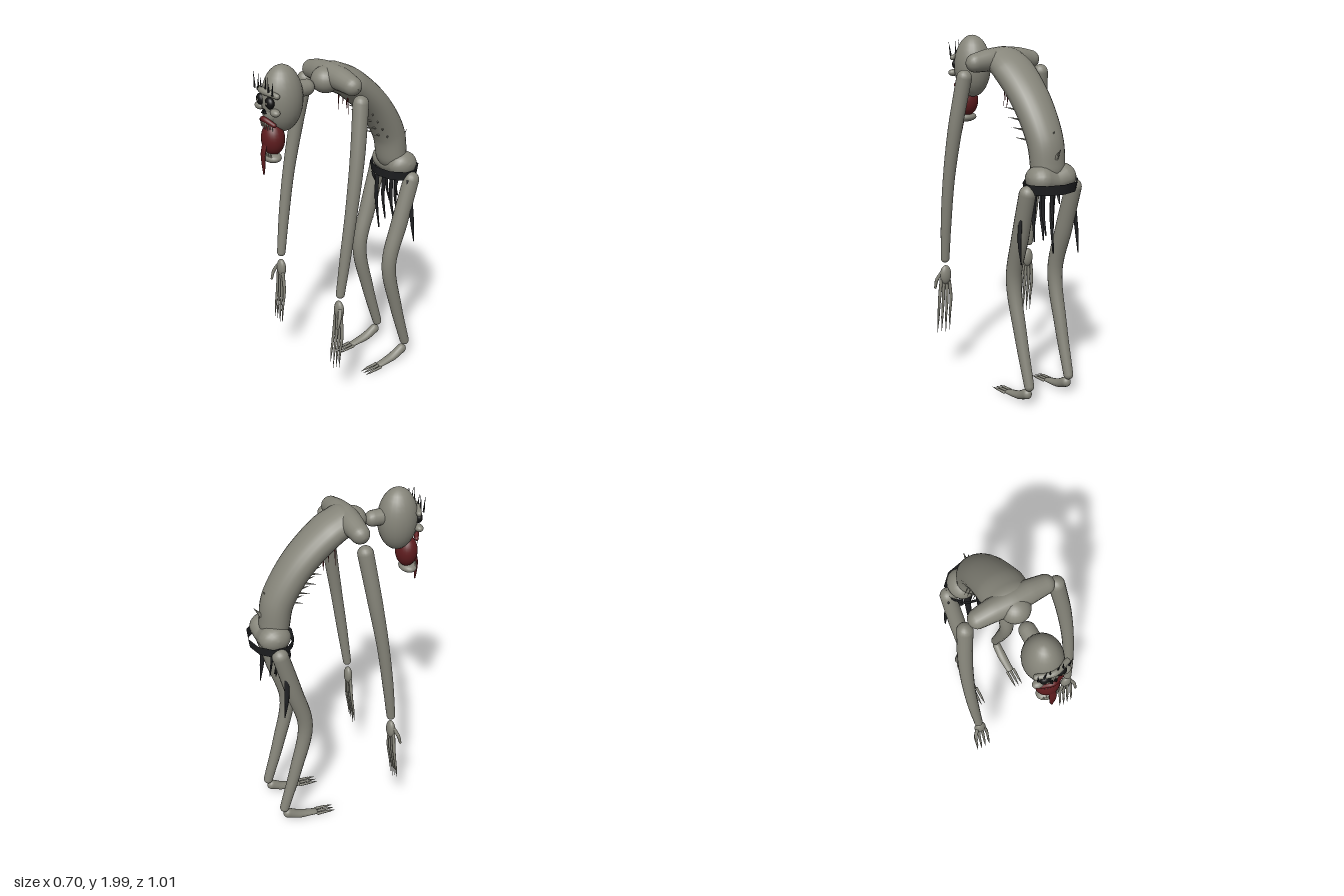
import * as THREE from 'three';

const mat = (name, color) => Object.assign(new THREE.MeshStandardMaterial({ color }), { name });
const V = (p) => new THREE.Vector3(...p);

// Smooth limb with round ends; radii are numbers or [across, depth] pairs.
function loft(points, radii, ref = [1, 0, 0], sides = 18, steps = 24) {
  const curve = new THREE.CatmullRomCurve3(points.map(V));
  const n = points.length - 1;
  const radiusAt = (t) => {
    const k = Math.min(Math.floor(t * n), n - 1), f = t * n - k;
    const [a, b] = [radii[k], radii[k + 1]].map((r) => (Array.isArray(r) ? r : [r, r]));
    return [a[0] + (b[0] - a[0]) * f, a[1] + (b[1] - a[1]) * f];
  };
  const rings = [];
  for (let i = 0; i < 6; i++) rings.push([0, -Math.cos((i / 6) * Math.PI / 2), Math.max(0.01, Math.sin((i / 6) * Math.PI / 2))]);
  for (let i = 0; i <= steps; i++) rings.push([i / steps, 0, 1]);
  for (let i = 5; i >= 0; i--) rings.push([1, Math.cos((i / 6) * Math.PI / 2), Math.max(0.01, Math.sin((i / 6) * Math.PI / 2))]);
  const pos = [], idx = [];
  rings.forEach(([t, push, scale], i) => {
    const T = curve.getTangent(t), B = V(ref).addScaledVector(T, -T.dot(V(ref))).normalize();
    const N = T.clone().cross(B), [ra, rb] = radiusAt(t);
    const c = curve.getPoint(t).addScaledVector(T, push * Math.min(ra, rb));
    for (let j = 0; j < sides; j++) {
      const a = (j / sides) * Math.PI * 2;
      const p = c.clone().addScaledVector(B, Math.cos(a) * ra * scale).addScaledVector(N, Math.sin(a) * rb * scale);
      pos.push(p.x, p.y, p.z);
      if (i < rings.length - 1) {
        const k = (j + 1) % sides, u = i * sides, w = u + sides;
        idx.push(u + j, u + k, w + j, u + k, w + k, w + j);
      }
    }
  });
  const g = new THREE.BufferGeometry();
  g.setAttribute('position', new THREE.Float32BufferAttribute(pos, 3));
  g.setIndex(idx);
  g.computeVertexNormals();
  return g;
}

export function createModel() {
  const model = new THREE.Group();
  const skin = mat('grey skin', 0x86857a), cloth = mat('black cloth', 0x1f2022);
  const socket = mat('dark socket', 0x121212), flesh = mat('dark red flesh', 0x5e1c1e);
  const bone = mat('pale bone', 0xb0aa98);
  cloth.side = THREE.DoubleSide;

  const add = (name, geo, material, parent = model) => {
    const m = new THREE.Mesh(geo, material);
    m.name = name;
    parent.add(m);
    return m;
  };
  const ball = (name, p, r, material, parent) => {
    const m = add(name, new THREE.SphereGeometry(1, 24, 16), material, parent);
    m.position.set(...p);
    m.scale.set(...r);
    return m;
  };
  const spike = (name, from, to, r, material, parent, sides = 6) => {
    const a = V(from), d = V(to).sub(a);
    const m = add(name, new THREE.ConeGeometry(r, d.length(), sides), material, parent);
    m.position.copy(a).addScaledVector(d, 0.5);
    m.quaternion.setFromUnitVectors(new THREE.Vector3(0, 1, 0), d.normalize());
    return m;
  };
  const group = (name) => {
    const g = new THREE.Group();
    g.name = name;
    model.add(g);
    return g;
  };

  // Hunched body
  add('torso', loft([[0, 1.34, -0.355], [0, 1.48, -0.33], [0, 1.67, -0.215], [0, 1.825, -0.05], [0, 1.875, 0.04]],
    [[0.1, 0.082], [0.104, 0.088], [0.115, 0.087], [0.127, 0.085], [0.12, 0.08]], [1, 0, 0], 24, 36), skin);
  add('shoulders', loft([[-0.185, 1.875, 0.062], [-0.1, 1.885, 0.062], [0, 1.89, 0.065], [0.1, 1.885, 0.062], [0.185, 1.875, 0.062]],
    [0.052, 0.062, 0.066, 0.062, 0.052], [0, 0, 1]), skin);
  ball('neckBase', [0, 1.87, 0.1], [0.08, 0.072, 0.08], skin);
  add('pelvis', loft([[-0.072, 1.295, -0.38], [0, 1.28, -0.38], [0.072, 1.295, -0.38]],
    [[0.09, 0.074], [0.085, 0.064], [0.09, 0.074]], [0, 0, 1]), skin);

  // Spines on the back, rib tips on the flanks, drips below the chest
  const details = group('bodySpikes');
  spike('backSpine', [0, 1.4, -0.42], [0, 1.465, -0.468], 0.014, skin, details);
  spike('backSpine', [0, 1.515, -0.385], [0, 1.55, -0.41], 0.01, skin, details);
  for (const s of [-1, 1]) {
    for (let i = 0; i < 4; i++) {
      const y = 1.49 + i * 0.05, z = -0.25 + i * 0.035;
      spike('ribTip', [s * 0.075, y, z - 0.015], [s * 0.125, y + 0.012, z + 0.025], 0.006, skin, details);
      spike('bellySpike', [s * 0.035, y, z], [s * 0.04, y + 0.01, z + 0.055], 0.008, skin, details);
    }
    [-0.015, -0.06, -0.1].forEach((z, i) =>
      spike('drip', [s * (0.04 + i * 0.02), 1.78 - i * 0.03, z], [s * (0.05 + i * 0.02), 1.635 + (i % 2) * 0.03, z], 0.006, flesh, details));
  }

  // Head and face
  const head = group('head');
  ball('skull', [0, 1.822, 0.372], [0.104, 0.178, 0.112], skin, head);
  add('neckStub', loft([[0, 1.85, 0.3], [0, 1.85, 0.222]], [0.046, 0.044]), skin, head);
  add('brow', loft([[-0.085, 1.868, 0.455], [0, 1.88, 0.482], [0.085, 1.868, 0.455]], [0.015, 0.018, 0.015], [0, 0, 1]), skin, head);
  for (const s of [-1, 1]) {
    ball('eyeSocket', [s * 0.043, 1.826, 0.474], [0.031, 0.031, 0.022], socket, head);
    ball('pupil', [s * 0.043, 1.826, 0.495], [0.007, 0.007, 0.004], bone, head);
    ball('cheekbone', [s * 0.074, 1.78, 0.463], [0.033, 0.02, 0.024], skin, head);
    spike('nostril', [s * 0.012, 1.762, 0.484], [s * 0.006, 1.79, 0.484], 0.011, socket, head, 4);
  }
  ball('muzzle', [0, 1.755, 0.448], [0.05, 0.05, 0.035], skin, head);
  add('upperLip', loft([[-0.06, 1.708, 0.462], [0, 1.73, 0.484], [0.06, 1.708, 0.462]], [0.012, 0.016, 0.012], [0, 0, 1]), flesh, head);
  ball('openThroat', [0, 1.615, 0.435], [0.068, 0.09, 0.061], flesh, head);
  ball('lowerJaw', [0, 1.515, 0.447], [0.066, 0.028, 0.047], skin, head);
  for (let i = -4; i <= 4; i++) {
    const z = 0.486 - i * i * 0.001;
    spike('upperTooth', [i * 0.014, 1.71, z], [i * 0.014, 1.675, z], 0.006, bone, head);
    if (Math.abs(i) < 4) spike('lowerTooth', [i * 0.014, 1.53, z], [i * 0.014, 1.555, z], 0.005, bone, head);
  }
  add('tongue', loft([[0, 1.6, 0.485], [0, 1.54, 0.498], [0, 1.48, 0.498], [0, 1.425, 0.498]],
    [[0.02, 0.008], [0.022, 0.007], [0.018, 0.006], [0.004, 0.003]], [1, 0, 0], 12), flesh, head);
  [-0.088, -0.055, -0.022, 0.015, 0.048, 0.08].forEach((x, i) =>
    spike('hairSpike', [x, 1.875, 0.48], [x + (i % 2 ? 0.012 : -0.006), 1.975 - (i % 3) * 0.008, 0.483], 0.006, cloth, head));

  // Belt with hanging rags
  const rags = group('loincloth');
  const belt = add('belt', new THREE.CylinderGeometry(1, 0.94, 0.055, 10, 1, true), cloth, rags);
  belt.position.set(0, 1.252, -0.38);
  belt.scale.set(0.165, 1, 0.126);
  const rag = (x, top, tip, z, lean, w) => add('rag', loft(
    [[x, top, z], [x + lean * 0.4, (top + tip) / 2, z + 0.008], [x + lean, tip, z - 0.012]],
    [[w, 0.007], [w * 0.75, 0.006], [0.004, 0.004]], [1, 0, 0], 8, 10), cloth, rags);
  rag(-0.07, 1.24, 0.85, -0.315, 0.006, 0.021);
  rag(0, 1.24, 0.935, -0.31, 0, 0.02);
  rag(0.055, 1.24, 0.94, -0.32, 0.015, 0.019);
  rag(-0.11, 1.24, 1.13, -0.32, 0.01, 0.018);
  rag(0.105, 1.24, 1.12, -0.32, -0.01, 0.018);
  rag(-0.035, 1.24, 1.03, -0.36, 0.01, 0.017);
  rag(0.04, 1.24, 0.98, -0.37, -0.01, 0.017);
  for (const s of [-1, 1]) {
    add('sideRag', loft([[s * 0.172, 1.23, -0.35], [s * 0.188, 1.05, -0.362], [s * 0.196, 0.95, -0.37], [s * 0.195, 0.845, -0.384]],
      [[0.008, 0.016], [0.008, 0.016], [0.007, 0.013], [0.003, 0.003]], [1, 0, 0], 8), cloth, rags);
  }

  for (const s of [-1, 1]) {
    const side = s > 0 ? 'left' : 'right';

    // Arm
    const arm = group(side + 'Arm');
    add('armLimb', loft([[s * 0.258, 1.8, 0.06], [s * 0.292, 1.52, 0.105], [s * 0.308, 1.24, 0.152], [s * 0.308, 0.98, 0.19], [s * 0.301, 0.745, 0.221]],
      [0.043, 0.04, 0.034, 0.031, 0.025]), skin, arm);
    ball('palm', [s * 0.296, 0.643, 0.226], [0.035, 0.057, 0.024], skin, arm);
    for (let i = 0; i < 4; i++) {
      const f = i - 1.5, x0 = 0.297 + f * 0.017, x1 = 0.297 + f * 0.026, low = 0.275 - (i % 2) * 0.015 + (i === 3 ? 0.02 : 0);
      add('finger', loft([[s * x0, 0.615, 0.232], [s * x1, 0.5, 0.234], [s * x1, 0.375, 0.25]], [0.01, 0.009, 0.006], [1, 0, 0], 10, 12), skin, arm);
      spike('claw', [s * x1, 0.38, 0.25], [s * (x1 + f * 0.002), low, 0.258], 0.007, skin, arm, 8);
    }
    add('thumb', loft([[s * 0.32, 0.655, 0.235], [s * 0.34, 0.61, 0.255], [s * 0.343, 0.56, 0.268]], [0.011, 0.01, 0.007], [1, 0, 0], 10, 10), skin, arm);

    // Leg, foot and toes
    const leg = group(side + 'Leg');
    add('legLimb', loft([[s * 0.155, 1.225, -0.382], [s * 0.149, 0.97, -0.31], [s * 0.144, 0.71, -0.243], [s * 0.141, 0.41, -0.305], [s * 0.139, 0.125, -0.386]],
      [0.046, 0.048, 0.043, 0.036, 0.028]), skin, leg);
    add('foot', loft([[s * 0.139, 0.073, -0.366], [s * 0.139, 0.04, -0.295], [s * 0.141, 0.02, -0.19]],
      [[0.027, 0.03], [0.029, 0.024], [0.024, 0.013]]), skin, leg);
    for (let i = -1; i <= 1; i++) {
      const x = s * (0.142 + i * 0.024);
      add('toe', loft([[x, 0.018, -0.18], [x, 0.013, -0.112]], [0.009, 0.007], [1, 0, 0], 8, 4), skin, leg);
      spike('toeClaw', [x, 0.012, -0.112], [x, 0.007, -0.062], 0.007, skin, leg, 8);
    }
  }
  return model;
}
